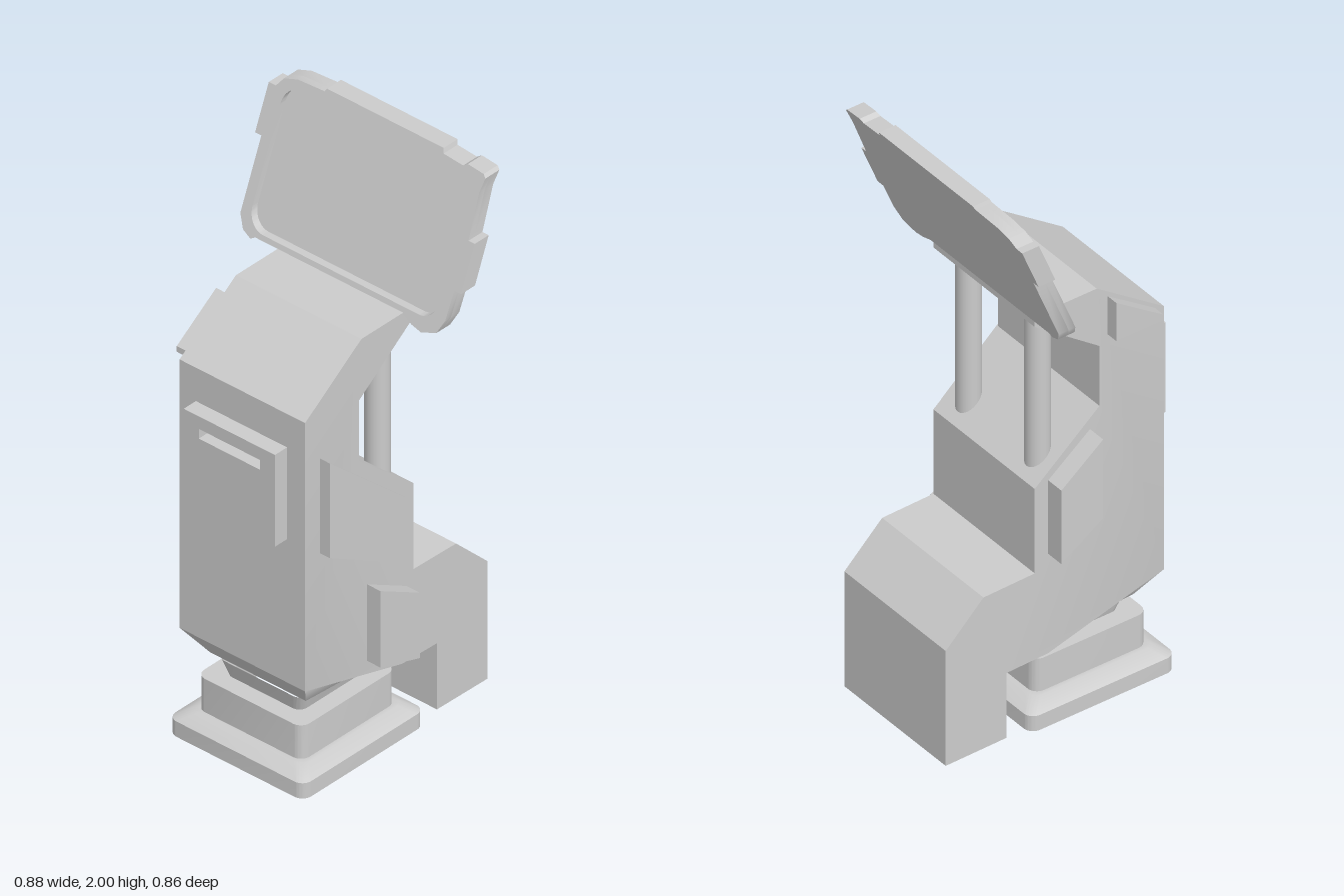
import * as THREE from 'three';
import { toCreasedNormals } from 'three/addons/utils/BufferGeometryUtils.js';

const material = new THREE.MeshStandardMaterial({ color: 0xcccccc });
const shellMaterial = new THREE.MeshStandardMaterial({ color: 0xcccccc, side: THREE.DoubleSide });
const W = 0.25; // half width of the body

const vectors = (pts) => pts.map(([a, b]) => new THREE.Vector2(a, b));

function mesh(name, geometry, mat = material) {
  const m = new THREE.Mesh(geometry, mat);
  m.name = name;
  return m;
}

// Loose triangles to a geometry with sharp edges
function fromTriangles(corners) {
  const g = new THREE.BufferGeometry();
  g.setAttribute('position', new THREE.Float32BufferAttribute(corners.flat(), 3));
  return toCreasedNormals(g, 0.6);
}

const quad = (a, b, c, d) => [a, b, c, a, c, d];

// Plate with a (z, y) outline, spanning x0 to x1
function sidePlate(name, pts, x0, x1) {
  const g = new THREE.ExtrudeGeometry(new THREE.Shape(vectors(pts)), { depth: x1 - x0, bevelEnabled: false });
  g.rotateY(-Math.PI / 2).translate(x1, 0, 0);
  return mesh(name, g);
}

function roundedRect(hx, hy, r, Target = THREE.Shape, cx = 0, cy = 0) {
  const s = new Target();
  [[1, -1, -90], [1, 1, 0], [-1, 1, 90], [-1, -1, 180]].forEach(([sx, sy, deg]) => {
    const a = THREE.MathUtils.degToRad(deg);
    s.absarc(cx + sx * (hx - r), cy + sy * (hy - r), r, a, a + Math.PI / 2, false);
  });
  s.closePath();
  return s;
}

// Bent body shell, open under the rear foot, with a tapered underside
function createBody() {
  const profile = [
    [0.38, 0.375], [0.38, 1.34], [0.13, 1.515], [-0.1, 1.515], [-0.1, 1.475],
    [0.14, 1.3], [0.14, 1.08], [-0.1, 0.88], [-0.1, 0.57], [-0.29, 0.565],
    [-0.43, 0.43], [-0.43, 0.008], [-0.205, 0.012], [-0.205, 0.25], [-0.05, 0.255],
  ];
  const openEdge = 11, taperEdge = 14;
  const tris = [];
  const at = (x, [z, y]) => [x, y, z];
  profile.forEach((a, i) => {
    if (i === openEdge || i === taperEdge) return;
    const b = profile[(i + 1) % profile.length];
    tris.push(...quad(at(W, a), at(W, b), at(-W, b), at(-W, a)));
  });
  // Flat sides
  THREE.ShapeUtils.triangulateShape(vectors(profile), []).forEach(([i, j, k]) => {
    const [a, b, c] = [profile[i], profile[j], profile[k]];
    tris.push(at(-W, a), at(-W, b), at(-W, c), at(W, a), at(W, c), at(W, b));
  });
  // Tapered underside around the neck
  const n = 0.19, front = profile[0], rear = profile[taperEdge];
  const lowFront = [0.31, 0.278], lowRear = [-0.05, 0.255];
  tris.push(...quad(at(-W, front), at(-n, lowFront), at(n, lowFront), at(W, front)));
  tris.push(...quad(at(-n, lowFront), at(-n, lowRear), at(n, lowRear), at(n, lowFront)));
  tris.push(...quad(at(W, front), at(n, lowFront), at(n, lowRear), at(W, rear)));
  tris.push(...quad(at(-W, front), at(-W, rear), at(-n, lowRear), at(-n, lowFront)));
  return mesh('body', fromTriangles(tris), shellMaterial);
}

// Stepped square pedestal, hollow from below: rings of [half width, y, corner radius]
function createBase() {
  const rings = [
    [0.27, 0.005, 0.035], [0.27, 0.06, 0.035], [0.225, 0.09, 0.035], [0.21, 0.09, 0.035],
    [0.21, 0.21, 0.035], [0.15, 0.21, 0.03], [0.167, 0.27, 0.03],
  ].map(([h, y, r]) => roundedRect(h, h, r).getPoints(6).map((p) => [p.x, y, 0.14 - p.y]));
  const tris = [];
  for (let i = 0; i < rings.length - 1; i++) {
    const lo = rings[i], hi = rings[i + 1];
    lo.forEach((p, j) => {
      const k = (j + 1) % lo.length;
      tris.push(...quad(p, lo[k], hi[k], hi[j]));
    });
  }
  return mesh('base', fromTriangles(tris), shellMaterial);
}

// Tilted display: notched frame around a recessed panel, leaned back by a shear
function createScreen() {
  const outline = [
    [-0.34, 1.515], [0.24, 1.515], [0.29, 1.495], [0.33, 1.487], [0.385, 1.505], [0.405, 1.55],
    [0.408, 1.64], [0.435, 1.64], [0.435, 1.79], [0.41, 1.79], [0.402, 1.93], [0.41, 1.975],
    [0.4, 1.985], [0.335, 1.99], [0.32, 1.98], [0.24, 1.985], [0.235, 2], [-0.23, 2],
    [-0.235, 1.99], [-0.34, 1.985], [-0.39, 1.97], [-0.412, 1.94], [-0.44, 1.94], [-0.44, 1.79],
    [-0.415, 1.79], [-0.415, 1.56], [-0.39, 1.52], [-0.355, 1.505],
  ];
  const lean = (shape, z, depth) => {
    const g = new THREE.ExtrudeGeometry(shape, { depth, bevelEnabled: false, curveSegments: 8 });
    const p = g.attributes.position;
    for (let i = 0; i < p.count; i++) p.setZ(i, p.getZ(i) + z - 0.405 * (p.getY(i) - 1.49));
    return toCreasedNormals(g, 0.6);
  };
  const frame = new THREE.Shape(vectors(outline));
  frame.holes.push(roundedRect(0.375, 0.215, 0.065, THREE.Path, -0.004, 1.746));
  const group = new THREE.Group();
  group.name = 'screen';
  group.add(mesh('screenFrame', lean(frame, -0.07, 0.025)));
  group.add(mesh('screenPanel', lean(new THREE.Shape(vectors(outline)), -0.107, 0.037)));
  return group;
}

// Raised front plate with a slot
function createFrontPlate() {
  const rect = (T, x0, x1, y0, y1) => new T(vectors([[x0, y0], [x1, y0], [x1, y1], [x0, y1]]));
  const plate = rect(THREE.Shape, -0.185, 0.178, 0.89, 1.22);
  plate.holes.push(rect(THREE.Path, -0.125, 0.118, 1.14, 1.175));
  const g = new THREE.ExtrudeGeometry(plate, { depth: 0.06, bevelEnabled: false });
  return mesh('frontPlate', g.translate(0, 0, 0.374));
}

export function createModel() {
  const model = new THREE.Group();
  model.name = 'terminal';
  model.add(createBase(), createBody(), createScreen(), createFrontPlate());

  // Rear posts holding up the head
  for (const [side, x] of [['left', 0.17], ['right', -0.17]]) {
    const post = mesh(side + 'Post', new THREE.CylinderGeometry(0.04, 0.04, 0.62, 24));
    post.position.set(x, 1.18, -0.03);
    model.add(post);
  }

  // Raised side plates
  model.add(
    sidePlate('leftUpperPlate', [[0.315, 1.18], [-0.04, 0.87], [-0.04, 0.64], [0.315, 0.84]], 0.24, 0.29),
    sidePlate('leftLowerPlate', [[0.105, 0.62], [-0.07, 0.525], [-0.07, 0.29], [0.105, 0.345]], 0.24, 0.303),
    sidePlate('rightPlate', [[0.105, 1.01], [-0.05, 0.89], [-0.05, 0.62], [0.105, 0.72]], -0.315, -0.24),
    sidePlate('rightHeadPlate', [[0.17, 1.47], [0.17, 1.33], [0.345, 1.33], [0.345, 1.35]], -0.293, -0.24),
  );
  return model;
}
